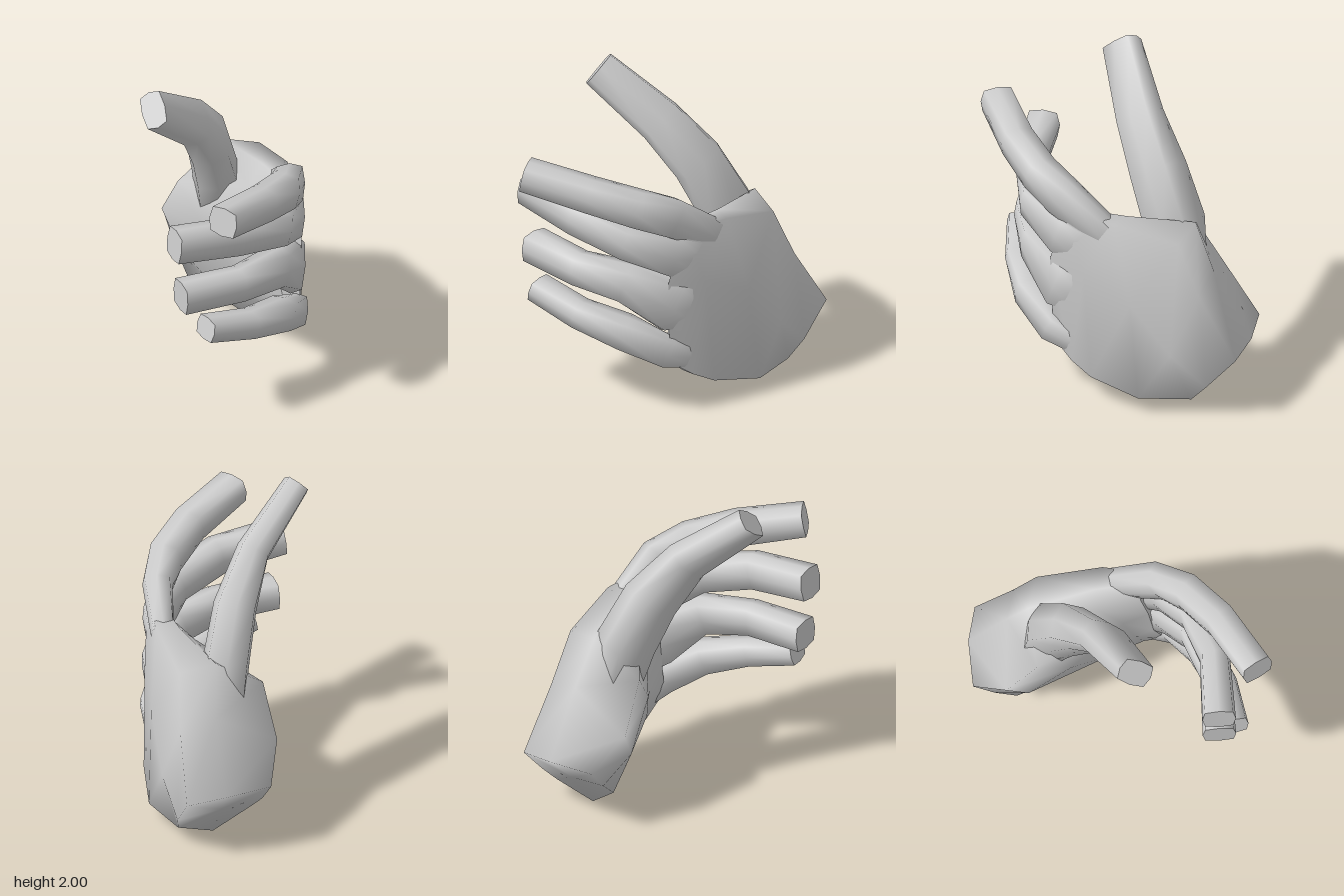
import * as THREE from 'three';

const material = new THREE.MeshStandardMaterial({ color: 0xcccccc });

// Skin a list of equal-sized rings: a soft start cap sharing its ring, a crisp end cap.
function loft(name, rings) {
  const n = rings[0].length;
  const pos = [], idx = [];
  const push = p => pos.push(p.x, p.y, p.z);
  const center = ring => ring.reduce((m, p) => m.addScaledVector(p, 1 / n), new THREE.Vector3());
  const last = rings[rings.length - 1];
  rings.forEach(r => r.forEach(push));
  last.forEach(push);
  push(center(rings[0]));
  push(center(last));
  const endRing = rings.length * n, startMid = endRing + n, endMid = startMid + 1;
  for (let j = 0; j < n; j++) {
    const k = (j + 1) % n;
    for (let i = 0; i < rings.length - 1; i++) {
      const a = i * n + j, b = i * n + k;
      idx.push(a, b, b + n, a, b + n, a + n);
    }
    idx.push(k, j, startMid, endRing + j, endRing + k, endMid);
  }
  const geo = new THREE.BufferGeometry();
  geo.setAttribute('position', new THREE.Float32BufferAttribute(pos, 3));
  geo.setIndex(idx);
  geo.computeVertexNormals();
  const mesh = new THREE.Mesh(geo, material);
  mesh.name = name;
  return mesh;
}

// A boxy finger from sections [x, y, z, half height, half thickness], base to tip.
function digit(name, sections, up) {
  const centers = sections.map(s => new THREE.Vector3(s[0], s[1], s[2]));
  const last = centers.length - 1;
  const square = v => Math.sign(v) * Math.pow(Math.abs(v), 0.5);
  const rings = sections.map((s, i) => {
    const t = centers[Math.min(i + 1, last)].clone().sub(centers[Math.max(i - 1, 0)]).normalize();
    const a = new THREE.Vector3(...up);
    a.addScaledVector(t, -a.dot(t)).normalize();
    const b = t.clone().cross(a);
    return Array.from({ length: 8 }, (_, j) => {
      const ang = j / 8 * Math.PI * 2;
      return centers[i].clone()
        .addScaledVector(a, s[3] * square(Math.cos(ang)))
        .addScaledVector(b, s[4] * square(Math.sin(ang)));
    });
  });
  return loft(name, rings);
}

export function createModel() {
  const hand = new THREE.Group();
  hand.name = 'hand';

  // Palm rings from wrist to knuckles: thumb edge, inner side, little-finger edge, back.
  const palm = [
    [[.24, .44, -.92], [-.05, .45, -.88], [-.03, .3, -.75], [0, .18, -.62],
      [.22, 0, -.55], [.45, .09, -.61], [.48, .2, -.71], [.47, .4, -.89]],
    [[.24, .85, -.69], [-.14, .65, -.68], [-.08, .45, -.55], [.07, .25, -.42],
      [.3, .03, -.25], [.55, .1, -.31], [.52, .4, -.5], [.45, .78, -.66]],
    [[.2, 1.15, -.56], [-.1, .95, -.5], [0, .7, -.3], [.18, .4, -.1],
      [.35, .16, 0], [.5, .17, 0], [.52, .7, -.25], [.42, 1.1, -.52]],
    [[.32, 1.19, -.17], [.22, 1.08, -.13], [.27, .75, 0], [.3, .45, .07],
      [.36, .22, .12], [.46, .24, .13], [.48, .85, .05], [.46, 1.2, -.13]],
    [[.37, 1.22, .14], [.3, 1.1, .1], [.3, .85, .15], [.3, .58, .18],
      [.34, .34, .25], [.4, .34, .26], [.41, .88, .28], [.43, 1.2, .18]]
  ];
  hand.add(loft('palm', palm.map(r => r.map(p => new THREE.Vector3(...p)))));

  // Four fingers curling forward and inward, broad where they leave the palm
  const fingers = {
    indexFinger: [[.4, 1.1, -.06, .1, .07], [.36, 1.28, .21, .12, .09],
      [.26, 1.36, .39, .11, .1], [.06, 1.44, .59, .1, .1], [-.27, 1.52, .82, .09, .1]],
    middleFinger: [[.4, .97, .02, .13, .06], [.37, 1.04, .21, .14, .08],
      [.21, 1.14, .43, .11, .1], [-.1, 1.22, .56, .11, .09], [-.5, 1.27, .6, .1, .1]],
    ringFinger: [[.4, .66, .04, .15, .06], [.37, .7, .22, .17, .08],
      [.2, .86, .43, .12, .1], [-.08, .88, .56, .1, .09], [-.46, .895, .6, .095, .1]],
    littleFinger: [[.41, .33, .08, .07, .05], [.38, .41, .27, .1, .07],
      [.22, .54, .46, .1, .1], [-.03, .61, .6, .08, .09], [-.33, .69, .68, .07, .09]]
  };
  for (const [name, sections] of Object.entries(fingers)) hand.add(digit(name, sections, [0, 1, 0]));

  // Thumb rising from the heel of the palm
  hand.add(digit('thumb', [[.12, .72, -.48, .12, .1], [.1, 1.07, -.4, .17, .14],
    [.01, 1.36, -.27, .16, .13], [-.14, 1.62, -.11, .14, .1], [-.46, 1.91, .1, .115, .08]], [.2, .5, -1]));
  return hand;
}
